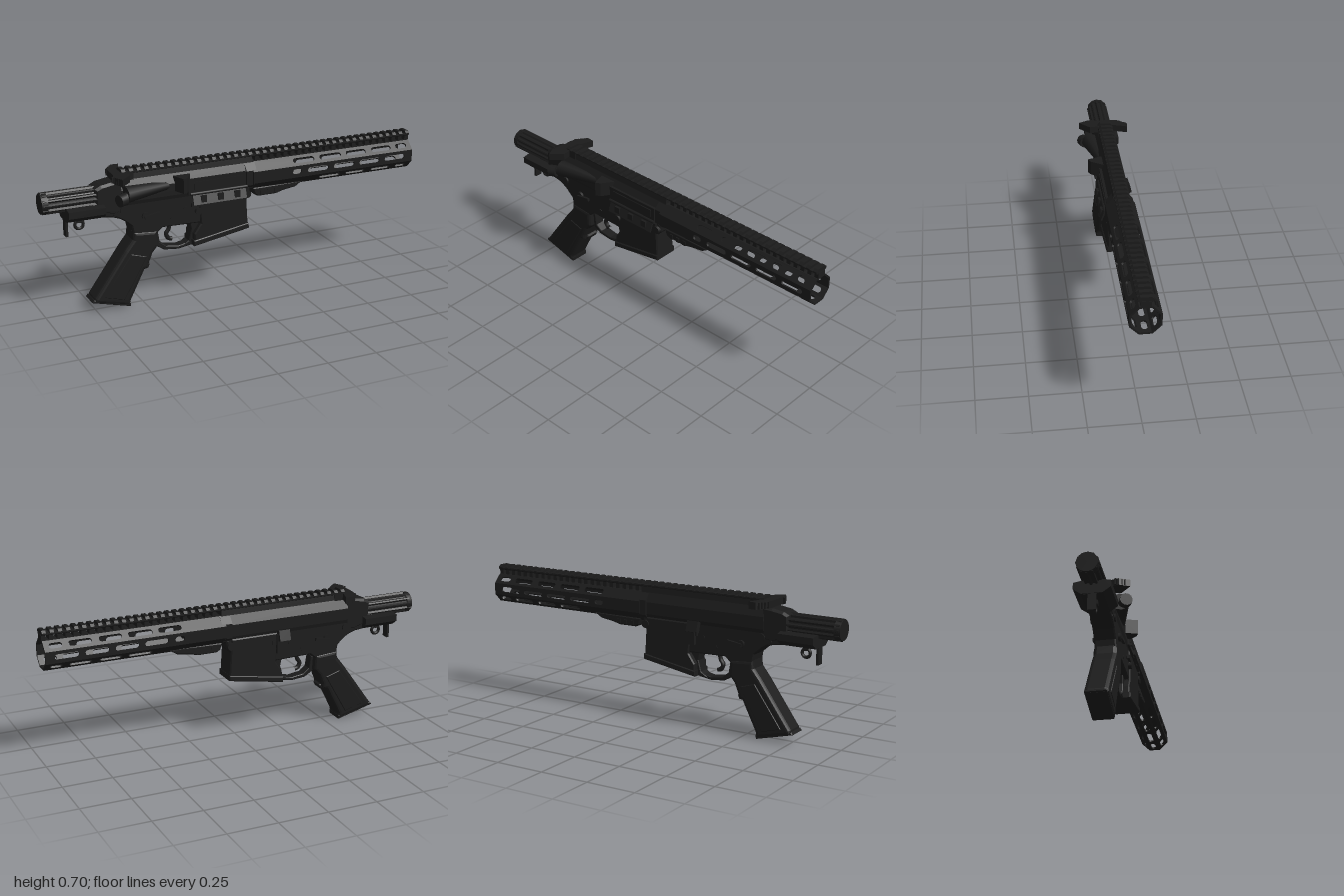
import * as THREE from 'three';

const black = new THREE.MeshStandardMaterial({ color: 0x1b1b1b });
black.name = 'matteBlack';

const shapeOf = (pts) => new THREE.Shape(pts.map((p) => new THREE.Vector2(p[0], p[1])));

export function createModel() {
  const root = new THREE.Group();
  root.name = 'shortCarbine';
  const body = new THREE.Group();
  body.name = 'body';
  body.position.z = -0.01;
  root.add(body);

  const add = (name, geo, parent = body) => {
    const m = new THREE.Mesh(geo, black);
    m.name = name;
    parent.add(m);
    return m;
  };
  const box = (name, x0, x1, y0, y1, z0, z1) => {
    const m = add(name, new THREE.BoxGeometry(x1 - x0, y1 - y0, z1 - z0));
    m.position.set((x0 + x1) / 2, (y0 + y1) / 2, (z0 + z1) / 2);
    return m;
  };
  // side outline (x, y), extruded evenly across z with chamfered edges
  const slab = (name, pts, half, b = 0.006, seg = 1) => {
    const g = new THREE.ExtrudeGeometry(shapeOf(pts), {
      depth: 2 * (half - b), bevelThickness: b, bevelSize: b, bevelOffset: -b, bevelSegments: seg,
    });
    return add(name, g.translate(0, 0, b - half));
  };
  // cross-section (z, y), extruded along x
  const beam = (name, pts, x0, x1) => {
    const g = new THREE.ExtrudeGeometry(shapeOf(pts), { depth: x1 - x0, bevelEnabled: false });
    return add(name, g.rotateY(Math.PI / 2).translate(x0, 0, 0));
  };
  // mirrored cross-section from its +z half, listed bottom to top
  const mirrorBeam = (name, half, x0, x1) =>
    beam(name, [...half, ...half.map(([z, y]) => [-z, y]).reverse()], x0, x1);
  // plan outline (x, z), extruded upward
  const plan = (name, pts, y0, y1) => {
    const g = new THREE.ExtrudeGeometry(shapeOf(pts), { depth: y1 - y0, bevelEnabled: false });
    return add(name, g.rotateX(Math.PI / 2).translate(0, y1, 0));
  };
  const rod = (name, a, b, r0, r1 = r0, sides = 16) => {
    const p = new THREE.Vector3(...a), q = new THREE.Vector3(...b), d = q.clone().sub(p);
    const m = add(name, new THREE.CylinderGeometry(r1, r0, d.length(), sides));
    m.position.copy(p).add(q).multiplyScalar(0.5);
    m.quaternion.setFromUnitVectors(new THREE.Vector3(0, 1, 0), d.normalize());
    return m;
  };
  const tube = (name, pts, r) => add(name, new THREE.TubeGeometry(
    new THREE.CatmullRomCurve3(pts.map((p) => new THREE.Vector3(p[0], p[1], 0))), 16, r, 8));

  // octagonal handguard made of eight slotted plates
  const axisY = 0.583, apothem = 0.073, wall = 0.009;
  const w = apothem * Math.tan(Math.PI / 8);
  const sideSlots = [[0.3, 0.35], [0.385, 0.505], [0.535, 0.655], [0.685, 0.805], [0.835, 0.955]];
  const edgeSlots = [[0.46, 0.585], [0.615, 0.73], [0.765, 0.88], [0.91, 0.975]];
  const upperSlots = [[0.31, 0.43], ...edgeSlots];
  const slots = [sideSlots, upperSlots, [], upperSlots, sideSlots, edgeSlots, edgeSlots, edgeSlots];
  const guard = new THREE.Group();
  guard.name = 'handguard';
  guard.position.y = axisY;
  body.add(guard);
  slots.forEach((list, k) => {
    const s = shapeOf([[0.08, -w], [1, -w], [1, w], [0.08, w]]);
    const h = 0.014;
    for (const [a, b] of list) {
      const hole = new THREE.Path();
      hole.moveTo(a + h, -h).lineTo(b - h, -h);
      hole.absarc(b - h, 0, h, -Math.PI / 2, Math.PI / 2, false);
      hole.lineTo(a + h, h);
      hole.absarc(a + h, 0, h, Math.PI / 2, Math.PI * 1.5, false);
      s.holes.push(hole);
    }
    const g = new THREE.ExtrudeGeometry(s, { depth: wall, bevelEnabled: false, curveSegments: 5 });
    add('handguardPlate', g.translate(0, 0, apothem - wall).rotateX(-k * Math.PI / 4), guard);
  });
  rod('barrelNut', [0.06, axisY, 0], [0.26, axisY, 0], 0.06, 0.06, 20);
  rod('barrelStub', [0.25, axisY, 0], [0.285, axisY, 0], 0.025);
  slab('handStop', [[0.09, 0.52], [0.1, 0.485], [0.12, 0.474], [0.22, 0.474], [0.26, 0.485], [0.33, 0.495], [0.37, 0.52]], 0.045);
  for (const x of [0.13, 0.17, 0.21]) box('handStopRib', x, x + 0.018, 0.48, 0.505, -0.049, 0.049);

  // top rail: base strip, teeth and raised posts
  mirrorBeam('railBase', [[0.028, 0.68], [0.037, 0.686], [0.037, 0.692]], -0.6, 1);
  for (let i = 0; i < 41; i++) {
    const x = -0.6 + i * 0.0395;
    mirrorBeam('railTooth', [[0.037, 0.69], [0.037, 0.694], [0.025, 0.705]], x, x + 0.02);
    if (x > 0.08) box('railPost', x, x + 0.022, 0.652, 0.684, -0.024, 0.024);
  }

  // upper receiver
  mirrorBeam('upperReceiver', [[0.05, 0.525], [0.058, 0.55], [0.058, 0.61], [0.036, 0.655], [0.032, 0.685]], -0.61, 0.09);
  mirrorBeam('receiverFrontRing', [[0.03, 0.51], [0.066, 0.545], [0.066, 0.62], [0.035, 0.655]], 0.045, 0.1);
  box('ejectionPortFrame', -0.27, 0.04, 0.54, 0.62, 0.05, 0.066);
  box('boltCarrier', -0.24, 0.02, 0.565, 0.605, 0.06, 0.07);
  const cover = box('openPortCover', -0.25, 0.035, 0.49, 0.545, 0.074, 0.082);
  cover.rotation.x = -0.35;
  rod('coverHinge', [-0.26, 0.545, 0.07], [0.045, 0.545, 0.07], 0.008, 0.008, 8);
  for (const x of [-0.21, -0.12, -0.03]) box('coverRib', x, x + 0.03, 0.497, 0.535, 0.076, 0.088);
  plan('caseDeflector', [[-0.34, 0.045], [-0.25, 0.045], [-0.29, 0.105], [-0.315, 0.118]], 0.57, 0.645);
  rod('forwardAssistHousing', [-0.37, 0.6, 0.04], [-0.6, 0.595, 0.08], 0.022, 0.043, 10);
  rod('forwardAssistStem', [-0.58, 0.59, 0.085], [-0.625, 0.583, 0.1], 0.022);
  rod('forwardAssistButton', [-0.61, 0.583, 0.103], [-0.645, 0.58, 0.116], 0.03, 0.03, 12);

  // charging handle with two angled latches
  box('chargingHandleBar', -0.645, -0.54, 0.652, 0.69, -0.038, 0.038);
  plan('rightLatch', [[-0.64, 0.03], [-0.58, 0.03], [-0.575, 0.08], [-0.63, 0.133], [-0.655, 0.08]], 0.655, 0.69);
  plan('leftLatch', [[-0.645, -0.03], [-0.59, -0.03], [-0.575, -0.08], [-0.562, -0.115], [-0.6, -0.118], [-0.64, -0.065]], 0.655, 0.69);
  for (let i = 0; i < 4; i++) {
    box('rightLatchRidge', -0.661 + i * 0.006, -0.635, 0.657, 0.688, 0.062 + i * 0.014, 0.069 + i * 0.014);
    box('leftLatchRidge', -0.645 + i * 0.01, -0.6, 0.657, 0.688, -0.07 - i * 0.013, -0.063 - i * 0.013);
  }

  // lower receiver
  slab('lowerReceiver', [[-0.65, 0.545], [-0.66, 0.49], [-0.6, 0.455], [-0.56, 0.42], [-0.55, 0.365], [-0.43, 0.365],
    [-0.4, 0.39], [-0.2, 0.385], [-0.19, 0.45], [0.045, 0.46], [0.07, 0.49], [0.07, 0.53], [0.04, 0.545]], 0.052);
  slab('magazineWell', [[-0.215, 0.535], [-0.2, 0.38], [-0.235, 0.33], [-0.235, 0.272], [0.057, 0.325], [0.045, 0.535]], 0.059);
  slab('magazineWellLip', [[-0.24, 0.297], [-0.24, 0.268], [0.06, 0.32], [0.058, 0.348]], 0.065, 0.004);
  slab('triggerGuard', [[-0.44, 0.36], [-0.43, 0.29], [-0.385, 0.262], [-0.31, 0.254], [-0.22, 0.269], [-0.22, 0.29],
    [-0.31, 0.27], [-0.375, 0.28], [-0.408, 0.305], [-0.418, 0.37]], 0.026, 0.003);
  slab('triggerGuardPost', [[-0.25, 0.39], [-0.24, 0.345], [-0.255, 0.29], [-0.29, 0.265], [-0.21, 0.27], [-0.19, 0.39]], 0.03, 0.004);
  tube('trigger', [[-0.345, 0.4], [-0.35, 0.36], [-0.365, 0.335], [-0.352, 0.31], [-0.335, 0.305]], 0.011);

  // pins and controls on both sides
  for (const s of [1, -1]) {
    const pin = (name, x, y, r, out) => rod(name, [x, y, s * 0.045], [x, y, s * out], r, r, 12);
    pin('frontPin', 0.05, 0.5, 0.02, 0.066);
    pin('rearPin', -0.6, 0.51, 0.02, 0.06);
    pin('triggerPin', -0.35, 0.43, 0.01, 0.055);
    pin('hammerPin', -0.28, 0.47, 0.01, 0.055);
    pin('selectorHub', -0.49, 0.465, 0.02, 0.064);
    const lever = box('selectorLever', -0.5, -0.42, 0.458, 0.474, s * 0.066 - 0.006, s * 0.066 + 0.006);
    lever.rotation.z = 0.15;
    pin('magazineButton', -0.215, 0.45, 0.017, 0.07);
    box('controlFence', -0.25, -0.18, 0.475, 0.495, s * 0.056 - 0.008, s * 0.056 + 0.008);
  }
  box('boltCatch', -0.24, -0.2, 0.43, 0.53, -0.073, -0.05);
  const paddle = box('boltCatchPaddle', -0.265, -0.205, 0.495, 0.55, -0.088, -0.06);
  paddle.rotation.x = 0.3;

  // pistol grip
  slab('grip', [[-0.555, 0.39], [-0.43, 0.38], [-0.425, 0.3], [-0.455, 0.265], [-0.475, 0.215], [-0.478, 0.19], [-0.5, 0.185],
    [-0.575, 0.035], [-0.578, 0.008], [-0.765, 0.052], [-0.76, 0.075], [-0.6, 0.3], [-0.56, 0.35]], 0.057, 0.018, 3);
  slab('gripCap', [[-0.775, 0.055], [-0.765, 0.068], [-0.575, 0.024], [-0.577, 0.003]], 0.052, 0.004);
  slab('gripSidePanel', [[-0.57, 0.28], [-0.49, 0.255], [-0.61, 0.045], [-0.715, 0.075]], 0.06, 0.004);
  slab('fingerRidge', [[-0.49, 0.22], [-0.465, 0.205], [-0.473, 0.185], [-0.51, 0.18]], 0.035, 0.005);

  // fluted rear tube
  const flutes = [];
  for (let i = 0; i < 48; i++) {
    const a = (i / 48) * Math.PI * 2, r = i % 4 < 2 ? 0.054 : 0.046;
    flutes.push([Math.cos(a) * r, axisY + Math.sin(a) * r]);
  }
  beam('flutedTube', flutes, -0.995, -0.68);
  rod('tubeEndCap', [-1, axisY, 0], [-0.97, axisY, 0], 0.05, 0.054, 24);
  slab('receiverExtension', [[-0.74, 0.515], [-0.65, 0.49], [-0.6, 0.5], [-0.6, 0.66], [-0.65, 0.655], [-0.71, 0.645], [-0.74, 0.63]], 0.054, 0.012);

  // flared shroud below the tube, with sling fittings
  mirrorBeam('tubeShroud', [[0.05, 0.488], [0.087, 0.515], [0.087, 0.548], [0.05, 0.555]], -0.885, -0.7);
  slab('shroudNeck', [[-0.88, 0.53], [-0.88, 0.487], [-0.72, 0.487], [-0.66, 0.48], [-0.6, 0.46], [-0.6, 0.56], [-0.7, 0.57]], 0.05);
  box('hangingTab', -0.883, -0.871, 0.405, 0.5, -0.02, 0.02);
  box('slingPost', -0.825, -0.8, 0.465, 0.495, -0.015, 0.015);
  const ring = add('slingRing', new THREE.TorusGeometry(0.021, 0.008, 8, 20));
  ring.position.set(-0.81, 0.452, 0);
  return root;
}
